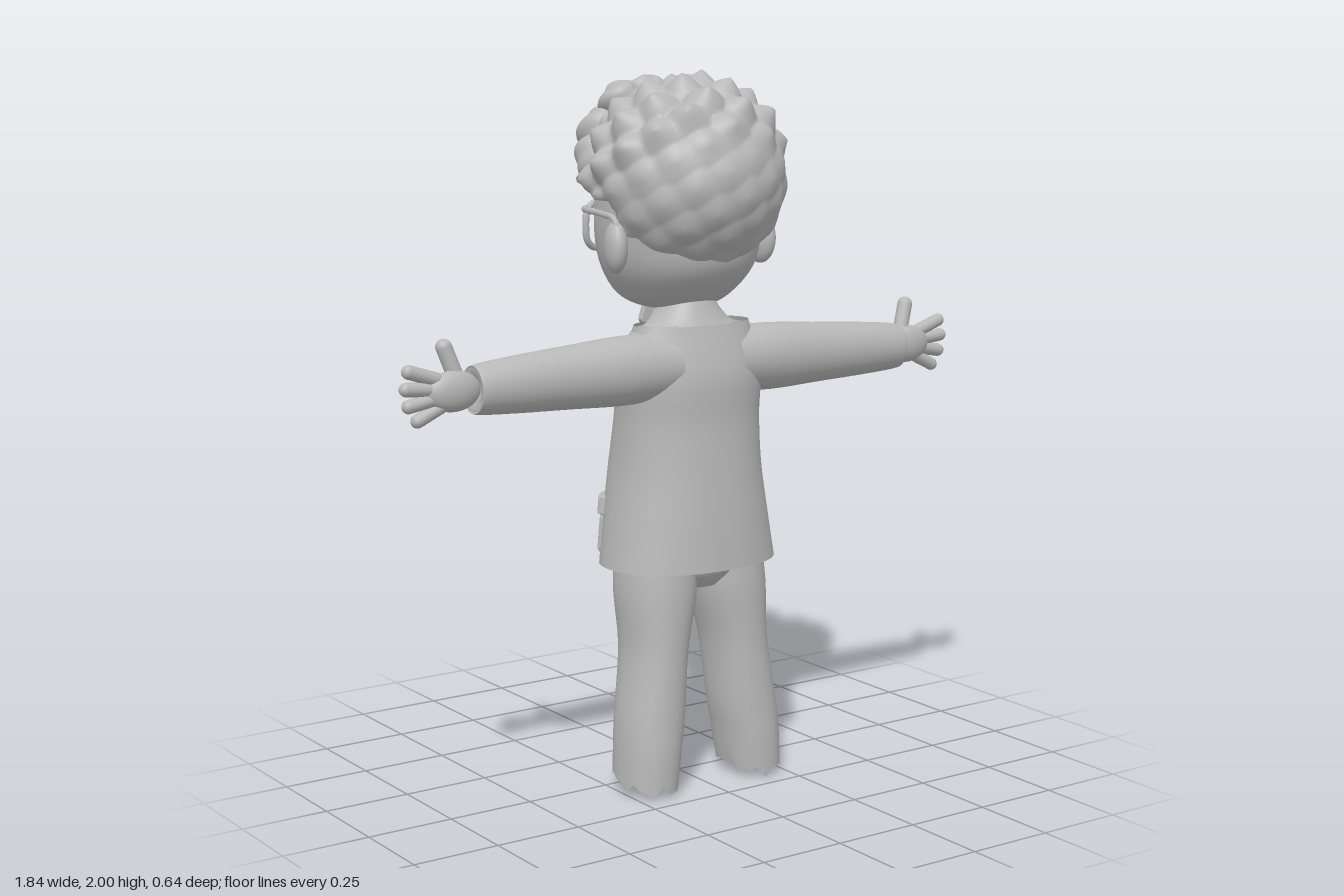
import * as THREE from 'three';
import { mergeVertices } from 'three/addons/utils/BufferGeometryUtils.js';

const clay = new THREE.MeshStandardMaterial({ color: 0xb8b8b8, side: THREE.DoubleSide });
clay.name = 'grey clay';

const V = (x, y, z) => new THREE.Vector3(x, y, z);
const step = THREE.MathUtils.smoothstep;
const TAU = Math.PI * 2;

// Smooth grid surface from fn(u, v) -> [x, y, z]
function surface(nu, nv, fn) {
  const pos = [], idx = [];
  for (let j = 0; j <= nv; j++) for (let i = 0; i <= nu; i++) pos.push(...fn(i / nu, j / nv));
  for (let j = 0; j < nv; j++) for (let i = 0; i < nu; i++) {
    const a = j * (nu + 1) + i, b = a + nu + 1;
    idx.push(a, b, a + 1, a + 1, b, b + 1);
  }
  let g = new THREE.BufferGeometry();
  g.setAttribute('position', new THREE.Float32BufferAttribute(pos, 3));
  g.setIndex(idx);
  g = mergeVertices(g, 1e-5);
  g.computeVertexNormals();
  return g;
}

// Spline through cross-section rows [along, c1, r1, c2, r2]
function sample(rows, v) {
  const n = rows.length - 1, f = Math.min(v * n, n - 1e-6), i = Math.floor(f), t = f - i;
  const at = k => rows[Math.max(0, Math.min(n, k))];
  return rows[0].map((_, c) => {
    const [p, q, r, s] = [at(i - 1)[c], at(i)[c], at(i + 1)[c], at(i + 2)[c]];
    return q + 0.5 * t * (r - p + t * (2 * p - 5 * q + 4 * r - s + t * (3 * (q - r) + s - p)));
  });
}
const pw = (s, p) => Math.sign(s) * Math.abs(s) ** p;

// Point on an upright lofted body; angle 0 is the face side (-z)
function bodyPoint(rows, a, v, off = 0, p = 0.88) {
  const [y, cx, rx, cz, rz] = sample(rows, v);
  return [cx + (rx + off) * pw(Math.sin(a), p), y, cz - (rz + off) * pw(Math.cos(a), p)];
}
const loft = (rows, p = 0.9, nu = 40, nv = 28) =>
  surface(nu, nv, (u, v) => bodyPoint(rows, u * TAU, v, 0, p));

const jacketRows = [
  [0.635, 0, 0.26, 0.045, 0.19], [0.77, 0, 0.24, 0.037, 0.187], [0.905, 0, 0.222, 0.033, 0.178],
  [1.04, 0, 0.215, 0.042, 0.157], [1.175, 0, 0.215, 0.057, 0.137], [1.31, 0, 0.18, 0.065, 0.088]];
const gap = v => 0.3 + 0.3 * Math.max(0, 1 - v / 0.12) ** 2;

// Lumpy hair: rounded tufts spread evenly over the scalp
const tufts = Array.from({ length: 95 }, (_, i) => {
  const y = 1 - 2 * (i + 0.5) / 95, r = Math.sqrt(1 - y * y), a = i * 2.39996;
  return V(r * Math.cos(a), y, r * Math.sin(a));
});
function hairPoint(u, v) {
  const th = v * Math.PI, a = (u % 1) * TAU;
  const d = V(Math.sin(th) * Math.sin(a), Math.cos(th), Math.sin(th) * Math.cos(a));
  let bump = 0;
  for (const t of tufts) bump = Math.max(bump, 1 - d.angleTo(t) / 0.25);
  const w = 0.2 + 0.8 * step(d.y * 0.8 - d.z * 0.6, -0.3, 0.35);
  const h = 0.055 * w * bump ** 0.9;
  const p = V(d.x * (0.262 + h), d.y * (0.25 + h), d.z * ((d.z > 0 ? 0.265 : 0.255) + h));
  const z = p.z + 0.05, y = p.y + 1.7;
  const line = 1.73 - 0.07 * step(z, -0.12, -0.03) - 0.32 * step(z, 0.04, 0.13);
  p.multiplyScalar(0.72 + 0.28 * step(y, line - 0.035, line));
  return [p.x, p.y + 1.7, p.z + 0.05];
}

export function createModel() {
  const model = new THREE.Group();
  const add = (name, geo) => {
    const m = new THREE.Mesh(geo, clay);
    m.name = name;
    model.add(m);
    return m;
  };
  const ball = (name, x, y, z, rx, ry, rz) => {
    const m = add(name, new THREE.SphereGeometry(1, 24, 16));
    m.position.set(x, y, z);
    m.scale.set(rx, ry, rz);
    return m;
  };
  const limb = (name, a, b, r) => {
    const m = add(name, new THREE.CapsuleGeometry(r, a.distanceTo(b), 6, 12));
    m.position.copy(a).lerp(b, 0.5);
    m.quaternion.setFromUnitVectors(V(0, 1, 0), b.clone().sub(a).normalize());
    return m;
  };
  const tube = (name, pts, r, closed = false) =>
    add(name, new THREE.TubeGeometry(new THREE.CatmullRomCurve3(pts, closed), 48, r, 8, closed));

  // Head
  add('head', loft([
    [1.342, 0, 0.001, -0.02, 0.001], [1.35, 0, 0.09, -0.02, 0.09], [1.385, 0, 0.16, -0.02, 0.15],
    [1.46, 0, 0.212, -0.005, 0.202], [1.55, 0, 0.235, 0, 0.215], [1.65, 0, 0.238, 0.01, 0.22],
    [1.75, 0, 0.22, 0.02, 0.21], [1.86, 0, 0.12, 0.03, 0.12]], 0.95));
  add('neck', new THREE.CylinderGeometry(0.075, 0.085, 0.16, 28)).position.set(0, 1.34, 0.03);
  ball('nose', 0, 1.5, -0.222, 0.038, 0.035, 0.036);
  tube('mouth', [V(-0.045, 1.43, -0.19), V(0, 1.422, -0.197), V(0.045, 1.43, -0.19)], 0.006);

  // Hair and the forelock above the forehead
  add('hair', surface(150, 90, hairPoint));
  [[-0.03, 1.83, -0.225, 0.09, 0.085, 0.09], [0.075, 1.82, -0.205, 0.08, 0.08, 0.085],
    [-0.13, 1.82, -0.165, 0.075, 0.08, 0.08], [0.165, 1.79, -0.14, 0.065, 0.075, 0.07],
    [-0.2, 1.76, -0.1, 0.06, 0.07, 0.07], [0.22, 1.74, -0.07, 0.055, 0.07, 0.07],
    [0.02, 1.91, -0.17, 0.08, 0.06, 0.07], [-0.09, 1.91, -0.13, 0.07, 0.06, 0.07],
    [0.12, 1.9, -0.12, 0.07, 0.065, 0.07], [-0.04, 1.935, -0.09, 0.06, 0.05, 0.05],
    [0.07, 1.935, -0.07, 0.06, 0.05, 0.05]].forEach((c, i) => {
    const m = ball('forelockCurl', ...c);
    m.geometry = surface(36, 24, (u, v) => {
      const a = (u % 1) * TAU, t = v * Math.PI;
      const r = 1 + 0.09 * Math.sin(3 * a + 4 * t + i) * Math.sin(t);
      return [r * Math.sin(t) * Math.sin(a), r * Math.cos(t), r * Math.sin(t) * Math.cos(a)];
    });
  });

  // Shirt, trouser seat, belt and shoulder yoke with collar
  add('shirt', surface(40, 24, (u, v) => bodyPoint(jacketRows, u * TAU, 0.2 + v * 0.8, -0.018)));
  add('trouserSeat', loft([[0.57, 0, 0.08, 0.05, 0.09], [0.62, 0, 0.19, 0.045, 0.13],
    [0.7, 0, 0.215, 0.04, 0.15], [0.82, 0, 0.215, 0.037, 0.165]]));
  add('belt', surface(48, 4, (u, v) => bodyPoint(jacketRows, u * TAU, 0.235 + v * 0.075, -0.012)));
  add('beltBuckle', new THREE.BoxGeometry(0.075, 0.055, 0.02)).position.set(0, 0.83, -0.15);
  add('shoulderYoke', loft([[1.24, 0, 0.2, 0.065, 0.1], [1.29, 0, 0.19, 0.062, 0.095],
    [1.31, 0, 0.13, 0.055, 0.09], [1.34, 0, 0.098, 0.045, 0.085], [1.375, 0, 0.075, 0.04, 0.075]]));
  tube('shirtPlacket', [V(0, 1.28, -0.045), V(0, 1.17, -0.068), V(0, 1.04, -0.1), V(0, 0.87, -0.134)], 0.008);

  // Jacket, open down the front
  add('jacket', surface(72, 40, (u, v) => bodyPoint(jacketRows, gap(v) + u * (TAU - 2 * gap(v)), v)));

  for (const s of [1, -1]) {
    const side = s > 0 ? 'left' : 'right';
    const patch = (name, v0, v1, a0, a1, off) => add(side + name, surface(10, 24, (u, t) => {
      const v = v0 + t * (v1 - v0), lo = a0(t, v), hi = a1(t, v);
      const edge = Math.min(1, 12 * Math.min(u, 1 - u, t, 1 - t));
      return bodyPoint(jacketRows, s * (lo + u * (hi - lo)), v, off * edge);
    }));
    patch('Lapel', 0.38, 0.99, (t, v) => gap(v) - 0.02,
      (t, v) => gap(v) + (t < 0.72 ? 0.02 + 0.6 * t : t < 0.78 ? 0.24 : 0.36), 0.014);
    patch('PocketFlap', 0.2, 0.28, () => 0.68, () => 1.2, 0.016);
    patch('Pocket', 0.06, 0.2, () => 0.72, () => 1.16, 0.008);
    tube(side + 'JacketEdge', [0, 0.03, 0.07, 0.12, 0.3, 0.5, 0.75, 1].map(v =>
      V(...bodyPoint(jacketRows, s * gap(v), v))), 0.007);

    // Shirt collar flap
    const flap = new THREE.Shape([[0.005, 1.32], [0.07, 1.36], [0.085, 1.31], [0.045, 1.235]]
      .map(([x, y]) => new THREE.Vector2(s * x, y)));
    const collar = add(side + 'ShirtCollar', new THREE.ExtrudeGeometry(flap,
      { depth: 0.01, bevelSize: 0.004, bevelThickness: 0.004, bevelSegments: 2 }));
    collar.position.z = -0.066;

    // Trouser leg with a torn, hollow end
    const leg = [[0.015, 0.178, 0.083, 0.095, 0.105], [0.12, 0.17, 0.088, 0.093, 0.107],
      [0.22, 0.158, 0.092, 0.087, 0.108], [0.4, 0.137, 0.088, 0.075, 0.112],
      [0.57, 0.119, 0.108, 0.057, 0.128], [0.72, 0.11, 0.1, 0.045, 0.13]];
    const torn = a => 0.018 + 0.018 * Math.cos(a) + 0.01 * Math.sin(7 * a + s) + 0.007 * Math.sin(13 * a);
    add(side + 'TrouserLeg', surface(52, 40, (u, v) => {
      const a = (u % 1) * TAU, [x, y, z] = bodyPoint(leg, a, v, 0, 0.92);
      return [s * x, y + torn(a) * Math.max(0, 1 - v * 7), z];
    }));
    add(side + 'LegInside', surface(40, 8, (u, v) => {
      const a = (u % 1) * TAU, r = 1 - v;
      return [s * 0.178 + 0.083 * r * Math.sin(a),
        0.06 + 0.02 * v + 0.012 * Math.sin(5 * a + 9 * v) * r, 0.095 - 0.105 * r * Math.cos(a)];
    }));

    // Sleeve, running out along x
    const arm = [[0.1, 1.2, 0.09, 0.085, 0.095], [0.25, 1.197, 0.095, 0.088, 0.088],
      [0.42, 1.194, 0.086, 0.088, 0.076], [0.58, 1.191, 0.077, 0.09, 0.068],
      [0.7, 1.188, 0.067, 0.09, 0.061], [0.712, 1.188, 0.058, 0.09, 0.052], [0.705, 1.188, 0.03, 0.09, 0.03]];
    add(side + 'Sleeve', surface(32, 42, (u, v) => {
      const [x, cy, ry, cz, rz] = sample(arm, v), a = (u % 1) * TAU;
      return [s * x, cy + ry * Math.cos(a), cz + rz * Math.sin(a)];
    }));

    // Hand
    ball(side + 'Palm', s * 0.765, 1.188, 0.078, 0.08, 0.055, 0.034);
    limb(side + 'Thumb', V(s * 0.75, 1.22, 0.068), V(s * 0.778, 1.302, 0.055), 0.022);
    [[0.79, 1.215, 0.892, 1.248], [0.8, 1.195, 0.9, 1.203], [0.8, 1.175, 0.893, 1.158],
      [0.78, 1.16, 0.868, 1.118]].forEach(([x0, y0, x1, y1]) =>
      limb(side + 'Finger', V(s * x0, y0, 0.076), V(s * x1, y1, 0.072), 0.019));

    // Ear, eye and spectacles
    ball(side + 'Ear', s * 0.243, 1.53, 0.055, 0.032, 0.072, 0.05).rotation.y = s * 0.3;
    ball(side + 'Eye', s * 0.09, 1.56, -0.178, 0.035, 0.042, 0.025);
    tube(side + 'GlassesRim', Array.from({ length: 16 }, (_, i) => {
      const a = i / 16 * TAU, x = 0.1 + 0.076 * pw(Math.cos(a), 0.65);
      return V(s * x, 1.565 + 0.066 * pw(Math.sin(a), 0.65), -0.228 + 0.9 * x * x);
    }), 0.01, true);
    tube(side + 'GlassesTemple', [V(s * 0.175, 1.615, -0.2), V(s * 0.222, 1.618, -0.13),
      V(s * 0.246, 1.615, 0), V(s * 0.25, 1.605, 0.06), V(s * 0.25, 1.55, 0.085)], 0.009);
  }
  tube('glassesBridge', [V(-0.03, 1.575, -0.226), V(0, 1.585, -0.235), V(0.03, 1.575, -0.226)], 0.009);

  return model;
}
